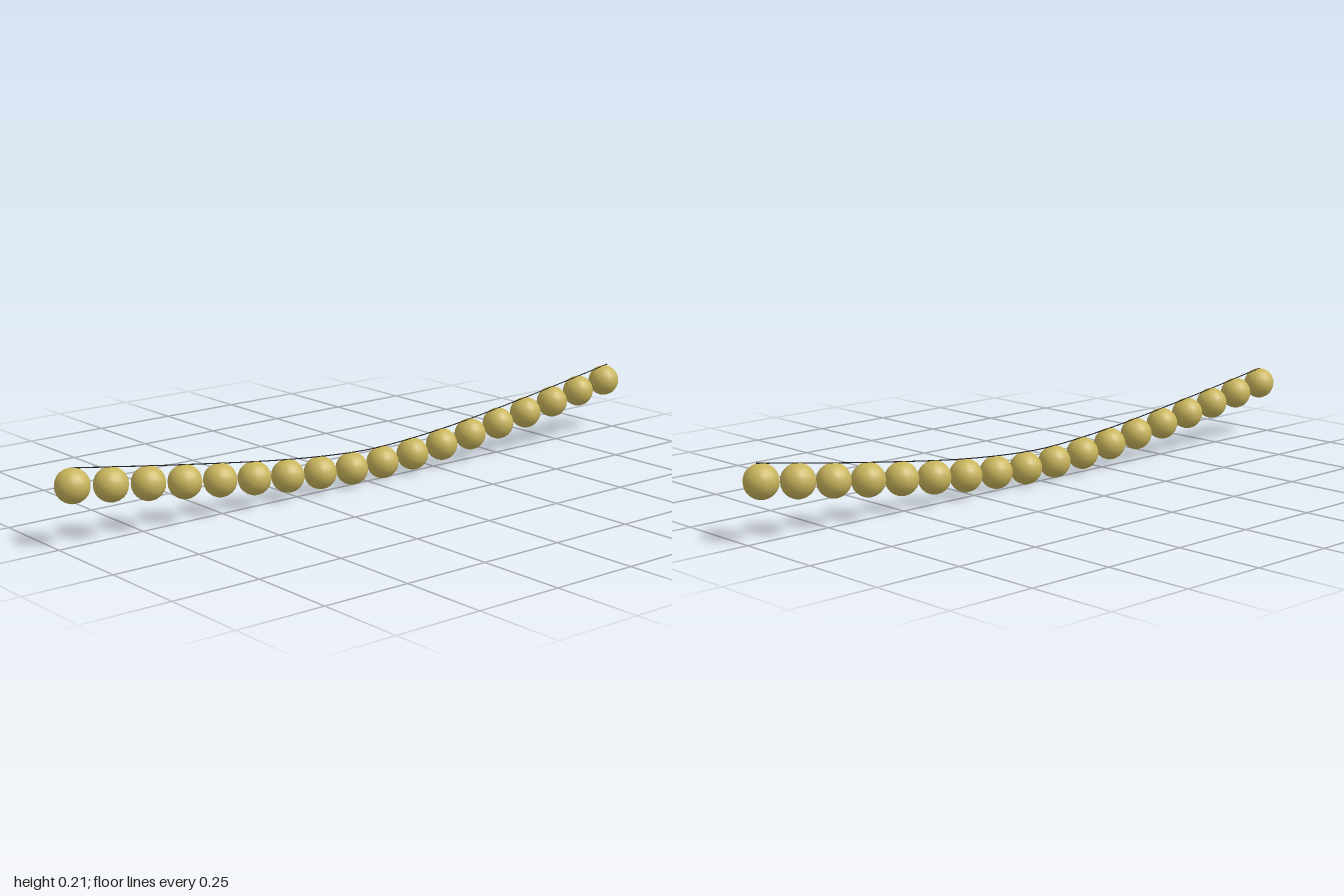
import * as THREE from 'three';

export function createModel() {
  const group = new THREE.Group();
  group.name = 'hangingLightString';

  const bulbMaterial = new THREE.MeshStandardMaterial({ color: 0xc9b55c });
  const wireMaterial = new THREE.MeshStandardMaterial({ color: 0x1a1a1a });

  // Sagging wire, slightly higher at its right end
  const radius = 0.046;
  const wirePoints = [
    [-0.955, 0.206], [-0.617, 0.156], [-0.28, 0.112], [-0.056, 0.094],
    [0.056, 0.093], [0.28, 0.108], [0.617, 0.151], [0.968, 0.204],
  ].map(([x, y]) => new THREE.Vector3(x, y, 0));
  const curve = new THREE.CatmullRomCurve3(wirePoints);
  const wire = new THREE.Mesh(new THREE.TubeGeometry(curve, 64, 0.0015, 6), wireMaterial);
  wire.name = 'wire';
  group.add(wire);

  // Height of the wire at a given x
  const samples = curve.getPoints(400);
  const wireHeight = (x) => {
    const i = Math.max(1, samples.findIndex((p) => p.x >= x));
    const a = samples[i - 1], b = samples[i];
    return THREE.MathUtils.mapLinear(x, a.x, b.x, a.y, b.y);
  };

  // Row of round bulbs hanging just under the wire
  const bulbGeometry = new THREE.SphereGeometry(radius, 16, 12);
  const count = 18;
  for (let i = 0; i < count; i++) {
    const x = THREE.MathUtils.lerp(-1 + radius, 1 - radius, i / (count - 1));
    const bulb = new THREE.Mesh(bulbGeometry, bulbMaterial);
    bulb.name = `bulb${i + 1}`;
    bulb.position.set(x, wireHeight(x) - radius, 0);
    group.add(bulb);
  }

  // Rest the lowest bulb on the ground
  const box = new THREE.Box3().setFromObject(group);
  group.children.forEach((part) => { part.position.y -= box.min.y; });
  return group;
}
